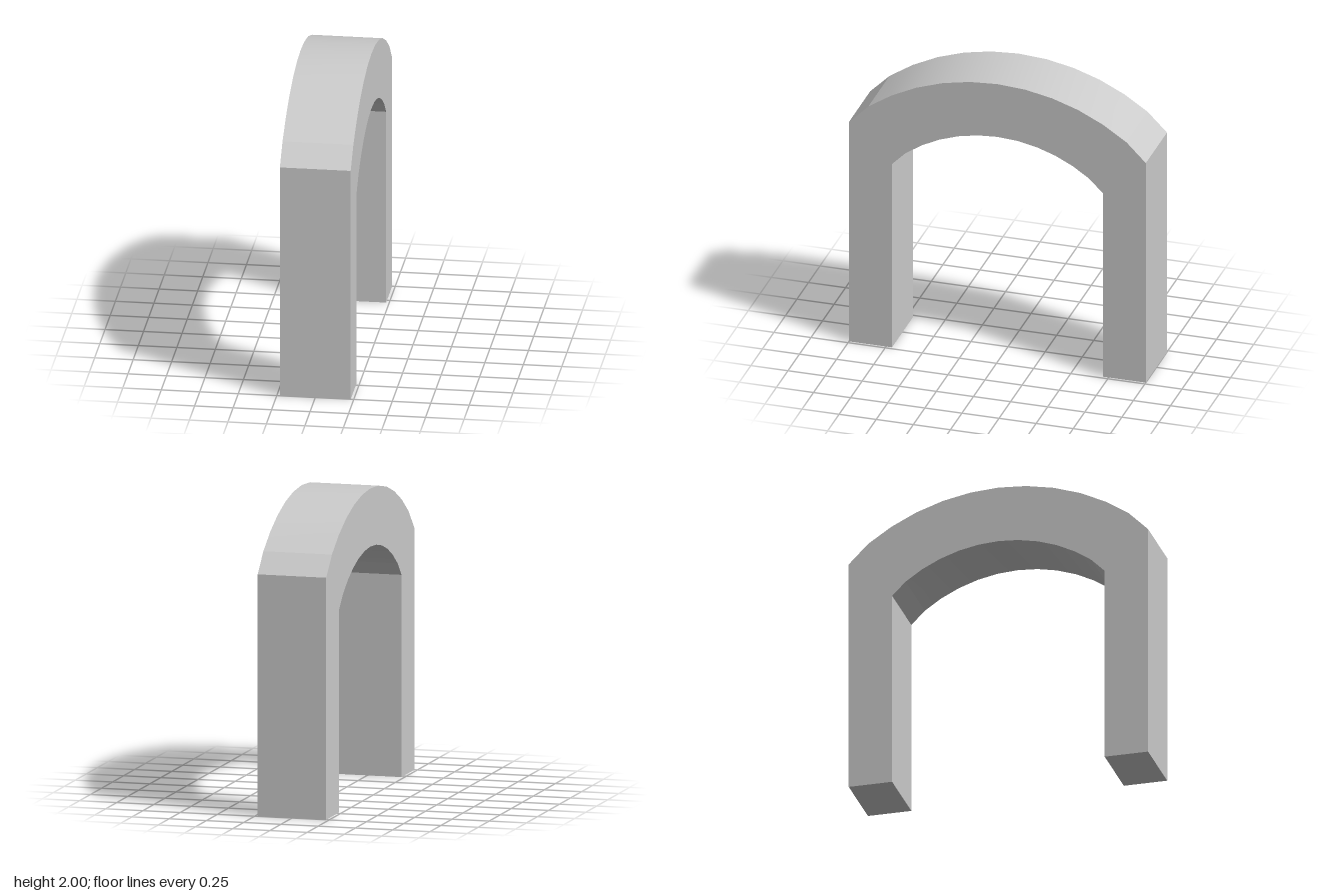
import * as THREE from 'three';
import { toCreasedNormals } from 'three/addons/utils/BufferGeometryUtils.js';

const WIDTH = 0.46;

// Points of a shallow arc from +half to -half, peaking at height top
function arcPoints(half, springY, top, segments = 10) {
  const rise = top - springY;
  const radius = (half * half + rise * rise) / (2 * rise);
  const sweep = Math.asin(half / radius);
  const points = [];
  for (let i = 0; i <= segments; i++) {
    const a = sweep * (1 - (2 * i) / segments);
    points.push(new THREE.Vector2(radius * Math.sin(a), top - radius + radius * Math.cos(a)));
  }
  return points;
}

export function createModel() {
  const group = new THREE.Group();
  group.name = 'archway';

  // Outline: straight legs, a steep facet at each shoulder, a smooth crown
  const p = (x, y) => new THREE.Vector2(x, y);
  const outer = [p(1, 0), p(1, 1.58), ...arcPoints(0.87, 1.71, 2), p(-1, 1.58), p(-1, 0)];
  const inner = [p(0.71, 0), p(0.71, 1.32), ...arcPoints(0.62, 1.41, 1.62), p(-0.71, 1.32), p(-0.71, 0)];
  const shape = new THREE.Shape([...outer, ...inner.reverse()]);

  // Extruded across the width, turned so the arch spans front to back
  const geometry = new THREE.ExtrudeGeometry(shape, { depth: WIDTH, bevelEnabled: false });
  geometry.translate(0, 0, -WIDTH / 2).rotateY(Math.PI / 2);

  // Crown stays smooth; legs, sides and shoulder facets stay crisp
  const arch = new THREE.Mesh(
    toCreasedNormals(geometry, 0.16),
    new THREE.MeshStandardMaterial({ color: 0xcccccc })
  );
  arch.name = 'arch';
  group.add(arch);
  return group;
}
